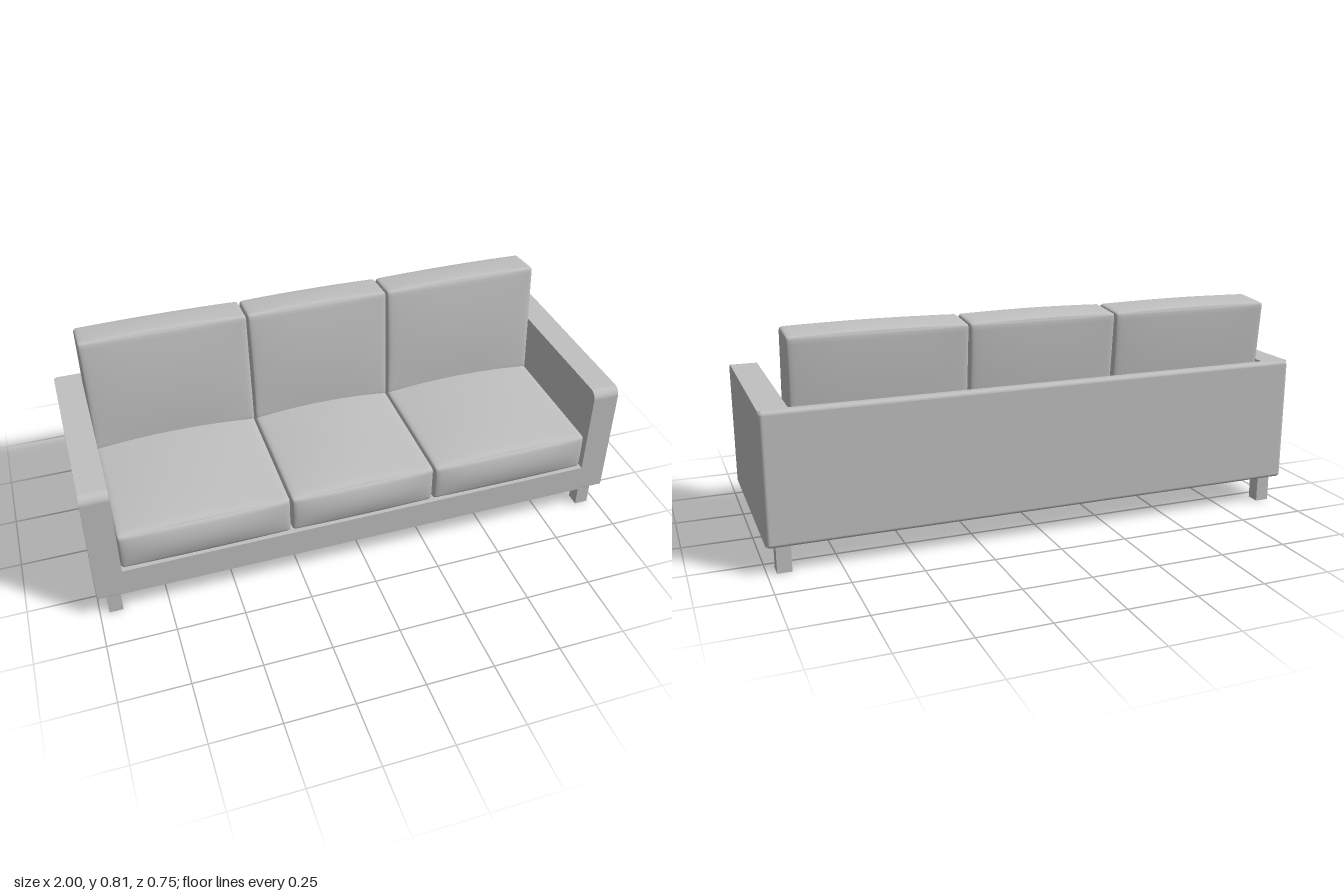
import * as THREE from 'three';
import { mergeVertices } from 'three/addons/utils/BufferGeometryUtils.js';
import { RoundedBoxGeometry } from 'three/addons/geometries/RoundedBoxGeometry.js';

const fabric = new THREE.MeshStandardMaterial({ color: 0xc0c0c0 });
fabric.name = 'grey fabric';

// Soft pillow: rounded box whose six faces swell in the middle
function cushionGeometry(w, h, d, r, bulge) {
  const g = new THREE.BoxGeometry(2, 2, 2, 24, 20, 20);
  g.deleteAttribute('normal');
  g.deleteAttribute('uv');
  const half = new THREE.Vector3(w / 2, h / 2, d / 2);
  const inner = half.clone().subScalar(r);
  const pos = g.attributes.position;
  const p = new THREE.Vector3(), c = new THREE.Vector3();
  for (let i = 0; i < pos.count; i++) {
    p.fromBufferAttribute(pos, i);
    // crowd the rows toward the edges
    const [u, v, t] = p.toArray().map((k) => Math.sin(k * Math.PI / 2));
    p.set(u, v, t).multiply(half);
    c.copy(p).clamp(inner.clone().negate(), inner);
    p.sub(c).setLength(r).add(c);
    const U = 1 - u * u, V = 1 - v * v, T = 1 - t * t;
    p.x += bulge[0] * u * V * T;
    p.y += bulge[1] * v * U * Math.sqrt(T);
    p.z += bulge[2] * t * Math.sqrt(U) * V;
    pos.setXYZ(i, p.x, p.y, p.z);
  }
  const merged = mergeVertices(g, 1e-5);
  merged.computeVertexNormals();
  return merged;
}

export function createModel() {
  const sofa = new THREE.Group();
  sofa.name = 'sofa';
  const add = (name, geometry, x, y, z) => {
    const mesh = new THREE.Mesh(geometry, fabric);
    mesh.name = name;
    mesh.position.set(x, y, z);
    sofa.add(mesh);
    return mesh;
  };

  // Frame: base and back panel
  add('base', new THREE.BoxGeometry(1.82, 0.11, 0.725), 0, 0.155, 0.0055);
  add('backPanel', new RoundedBoxGeometry(2, 0.468, 0.045, 4, 0.014), 0, 0.335, -0.35);

  // Arms: side profile with a rounded top front corner
  const profile = new THREE.Shape();
  profile.moveTo(-0.357, 0.101);
  profile.lineTo(0.362, 0.101);
  profile.quadraticCurveTo(0.368, 0.101, 0.368, 0.107);
  profile.lineTo(0.368, 0.537);
  profile.absarc(0.336, 0.537, 0.032, 0, Math.PI / 2, false);
  profile.lineTo(-0.357, 0.569);
  const armGeometry = new THREE.ExtrudeGeometry(profile, { depth: 0.1, bevelEnabled: false, curveSegments: 10 });
  armGeometry.rotateY(-Math.PI / 2); // profile z stays z, thickness runs toward -x
  add('leftArm', armGeometry, 1, 0, 0);
  add('rightArm', armGeometry, -0.9, 0, 0);

  // Legs
  for (const [side, sx] of [['left', 1], ['right', -1]]) {
    for (const [end, z] of [['Front', 0.32], ['Back', -0.318]]) {
      add(`${side}${end}Leg`, new THREE.BoxGeometry(0.051, 0.102, 0.051), sx * 0.942, 0.051, z);
    }
  }

  // Three seat cushions with three leaning back cushions
  const bays = [['right', -0.9, -0.28], ['middle', -0.276, 0.271], ['left', 0.275, 0.893]];
  for (const [name, x0, x1] of bays) {
    const w = x1 - x0, x = (x0 + x1) / 2;
    add(`${name}SeatCushion`, cushionGeometry(w, 0.15, 0.66, 0.014, [0, 0.022, 0.016]), x, 0.287, 0.029);
    const back = add(`${name}BackCushion`, cushionGeometry(w, 0.455, 0.142, 0.012, [0, 0.01, 0.011]), x, 0.574, -0.237);
    back.rotation.x = -0.095;
  }
  return sofa;
}
